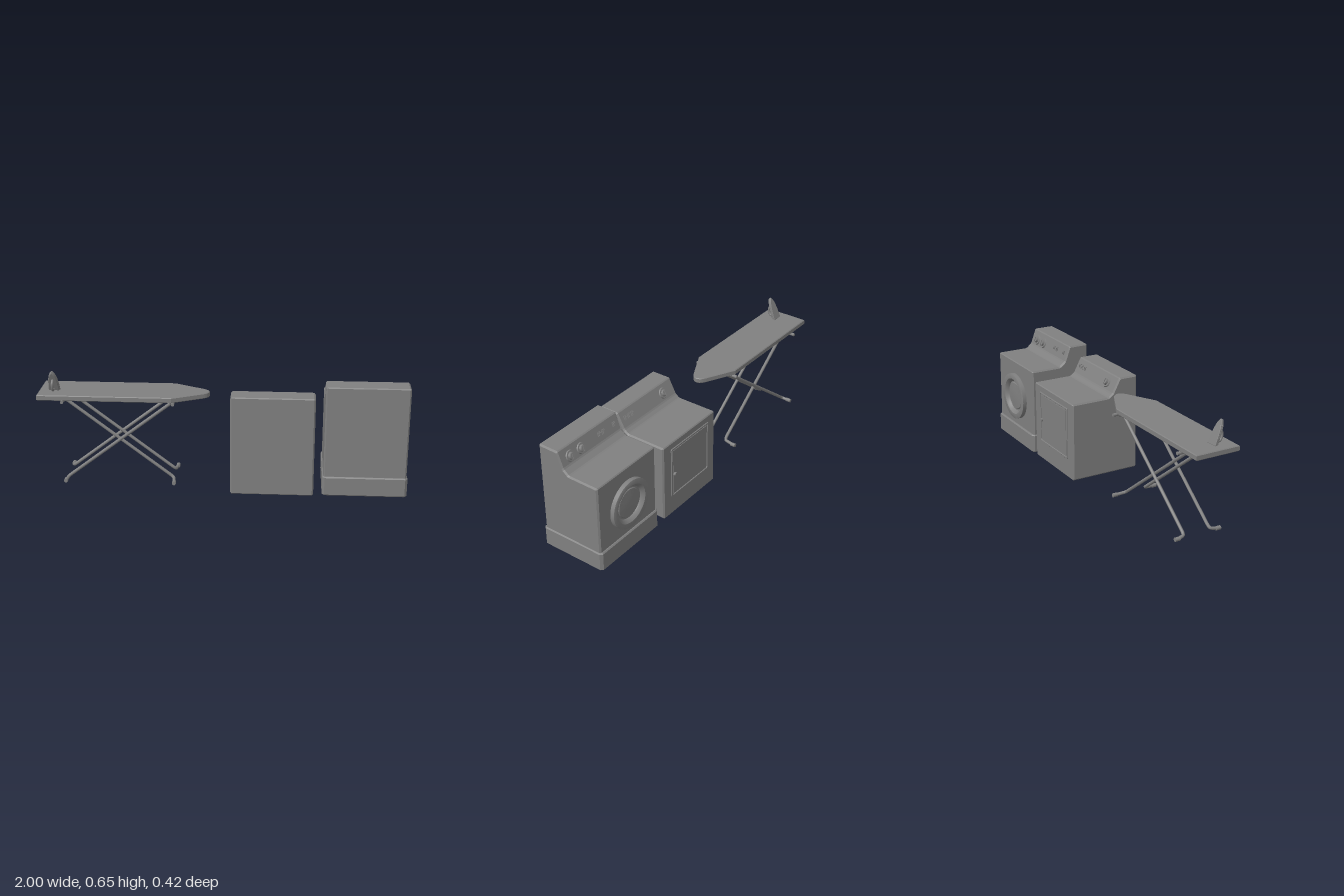
import * as THREE from 'three';
import { toCreasedNormals } from 'three/addons/utils/BufferGeometryUtils.js';

const material = new THREE.MeshStandardMaterial({ color: 0x808080 });
const V = (x, y, z) => new THREE.Vector3(x, y, z);

function add(parent, name, geometry, x = 0, y = 0, z = 0) {
  const mesh = new THREE.Mesh(geometry, material);
  mesh.name = name;
  mesh.position.set(x, y, z);
  parent.add(mesh);
  return mesh;
}

function group(parent, name) {
  const g = new THREE.Group();
  g.name = name;
  parent.add(g);
  return g;
}

// Polygon with every corner cut by distance c
function cutShape(points, c) {
  const p = points.map(([x, y]) => new THREE.Vector2(x, y));
  const out = [];
  p.forEach((q, i) => {
    for (const n of [p[(i + p.length - 1) % p.length], p[(i + 1) % p.length]]) {
      out.push(q.clone().add(n.clone().sub(q).setLength(c)));
    }
  });
  return new THREE.Shape(out);
}

// Extrusion whose bevel stays inside the given outline and depth
function slab(shape, depth, bevel) {
  return new THREE.ExtrudeGeometry(shape, {
    depth: depth - 2 * bevel, bevelEnabled: bevel > 0, bevelSize: bevel,
    bevelThickness: bevel, bevelOffset: -bevel, bevelSegments: 1, curveSegments: 10,
  }).translate(0, 0, bevel);
}

// Cabinet: side profile in (z, y) swept from x0 to x1
function cabinet(parent, profile, x0, x1) {
  add(parent, 'cabinet', slab(cutShape(profile, 0.005), x1 - x0, 0.008).rotateY(-Math.PI / 2), x1);
}

// Sloping control panel: local y points out of the panel
function controls(parent, y, z, normalY, normalZ, dials, buttons) {
  const panel = group(parent, 'controls');
  panel.position.set(0, y, z);
  panel.rotation.x = Math.atan2(normalZ, normalY);
  for (const x of dials) {
    add(panel, 'dialPlate', new THREE.CylinderGeometry(0.027, 0.03, 0.007, 24), x, 0.003);
    add(panel, 'dial', new THREE.CylinderGeometry(0.017, 0.019, 0.015, 20), x, 0.012);
    add(panel, 'dialGrip', new THREE.BoxGeometry(0.007, 0.005, 0.03), x, 0.021);
  }
  for (const x of buttons) {
    add(panel, 'buttonBase', new THREE.BoxGeometry(0.02, 0.006, 0.024), x, 0.002, 0.006);
    add(panel, 'button', new THREE.BoxGeometry(0.012, 0.012, 0.015), x, 0.005, 0.006);
  }
}

function buildDryer(parent) {
  const dryer = group(parent, 'dryer');
  cabinet(dryer, [[-0.197, 0.008], [-0.197, 0.457], [0.03, 0.457], [0.055, 0.475],
    [0.1, 0.56], [0.211, 0.56], [0.211, 0.008]], 0.048, 0.497);
  // Rectangular door with a raised rim
  const rim = cutShape([[-0.163, -0.15], [0.163, -0.15], [0.163, 0.15], [-0.163, 0.15]], 0.004);
  rim.holes.push(cutShape([[-0.153, -0.14], [0.153, -0.14], [0.153, 0.14], [-0.153, 0.14]], 0.004));
  add(dryer, 'doorRim', slab(rim, 0.007, 0.002), 0.271, 0.269, -0.202);
  add(dryer, 'door', new THREE.BoxGeometry(0.294, 0.268, 0.006), 0.271, 0.269, -0.197);
  add(dryer, 'doorKnob', new THREE.CylinderGeometry(0.011, 0.009, 0.018, 16).rotateX(-Math.PI / 2),
    0.407, 0.256, -0.203);
  controls(dryer, 0.514, 0.075, 0.47, -0.88, [0.143], [0.4, 0.428, 0.456]);
}

function buildWasher(parent) {
  const washer = group(parent, 'washer');
  cabinet(washer, [[-0.186, 0.06], [-0.186, 0.499], [-0.007, 0.499], [0.026, 0.525],
    [0.059, 0.614], [0.176, 0.614], [0.176, 0.06]], 0.549, 0.994);
  // Wider plinth
  const plan = cutShape([[0.543, -0.185], [1, -0.185], [1, 0.197], [0.543, 0.197]], 0.013);
  add(washer, 'plinth', slab(plan, 0.109, 0.006).rotateX(-Math.PI / 2));
  // Round door: thick ring around a shallow domed window
  const ring = [[0.137, 0], [0.137, 0.024], [0.135, 0.025], [0.108, 0.025], [0.093, 0.012],
    [0.09, 0.005], [0.082, 0.005], [0.078, 0.009], [0.04, 0.012], [0, 0.013]];
  const door = new THREE.LatheGeometry(ring.map(([r, h]) => new THREE.Vector2(r, h)), 40);
  add(washer, 'roundDoor', toCreasedNormals(door.rotateX(-Math.PI / 2), 0.5), 0.771, 0.288, -0.185);
  controls(washer, 0.562, 0.04, 0.36, -0.93, [0.842, 0.922], [0.592, 0.675, 0.705]);
}

function buildIroningBoard(parent) {
  const board = group(parent, 'ironingBoard');
  // Board top: straight sides, tapering to a rounded nose
  const s = new THREE.Shape();
  s.moveTo(-1, -0.125);
  s.lineTo(-0.272, -0.125);
  s.lineTo(-0.108, -0.042);
  s.bezierCurveTo(-0.062, -0.018, -0.062, 0.018, -0.108, 0.042);
  s.lineTo(-0.272, 0.125);
  s.lineTo(-1, 0.125);
  add(board, 'boardTop', slab(s, 0.03, 0.004).rotateX(-Math.PI / 2), 0, 0.494, 0.013);

  // Two crossing leg frames, each a pair of tubes with ends turned outward
  const frames = [[-0.264, -0.862, 0.058], [-0.862, -0.264, 0.076]];
  for (const [footX, topX, inner] of frames) {
    const frame = group(board, 'legFrame');
    frame.position.z = 0.008;
    for (const side of [-1, 1]) {
      const at = (t, z) => V(footX + (topX - footX) * t, 0.03 + 0.458 * t, side * z);
      const path = new THREE.CurvePath();
      const pts = [at(0, 0.118), at(0.01, inner + 0.012), at(0.05, inner), at(0.95, inner),
        at(0.99, inner + 0.012), at(1, 0.112)];
      path.add(new THREE.LineCurve3(pts[0], pts[1]));
      path.add(new THREE.QuadraticBezierCurve3(pts[1], at(0.01, inner), pts[2]));
      path.add(new THREE.LineCurve3(pts[2], pts[3]));
      path.add(new THREE.QuadraticBezierCurve3(pts[3], at(0.99, inner), pts[4]));
      path.add(new THREE.LineCurve3(pts[4], pts[5]));
      add(frame, 'leg', new THREE.TubeGeometry(path, 80, 0.009, 8));
      add(frame, 'footCap', new THREE.CylinderGeometry(0.011, 0.011, 0.028, 10).rotateX(Math.PI / 2),
        footX, 0.03, side * 0.122);
      add(frame, 'topCap', new THREE.CylinderGeometry(0.009, 0.009, 0.028, 10).rotateX(Math.PI / 2),
        topX, 0.488, side * 0.122);
    }
  }
}

// Iron outline: flat heel, nearly straight sides, pointed tip at the top
function soleShape(w, y0, y1) {
  const h = y1 - y0;
  const s = new THREE.Shape();
  s.moveTo(-w, y0);
  s.lineTo(w, y0);
  s.bezierCurveTo(w * 0.85, y0 + h * 0.6, w * 0.7, y0 + h * 0.85, 0, y1);
  s.bezierCurveTo(-w * 0.7, y0 + h * 0.85, -w * 0.85, y0 + h * 0.6, -w, y0);
  return s;
}

function buildIron(parent) {
  // Stands on its heel, leaning back
  const iron = group(parent, 'iron');
  iron.position.set(-0.92, 0.524, 0.027);
  iron.rotation.x = 0.4;
  add(iron, 'solePlate', slab(soleShape(0.032, 0, 0.133), 0.009, 0.002));
  add(iron, 'ironBody', slab(soleShape(0.029, 0.005, 0.131), 0.013, 0.003), 0, 0, 0.007);
  const grip = new THREE.CatmullRomCurve3([V(0, 0.018, 0.016), V(0, 0.026, 0.04),
    V(0, 0.045, 0.046), V(0, 0.07, 0.038), V(0, 0.08, 0.016)]);
  add(iron, 'handle', new THREE.TubeGeometry(grip, 24, 0.007, 8));
}

export function createModel() {
  const model = new THREE.Group();
  model.name = 'laundryRoom';
  buildDryer(model);
  buildWasher(model);
  buildIroningBoard(model);
  buildIron(model);
  return model;
}
